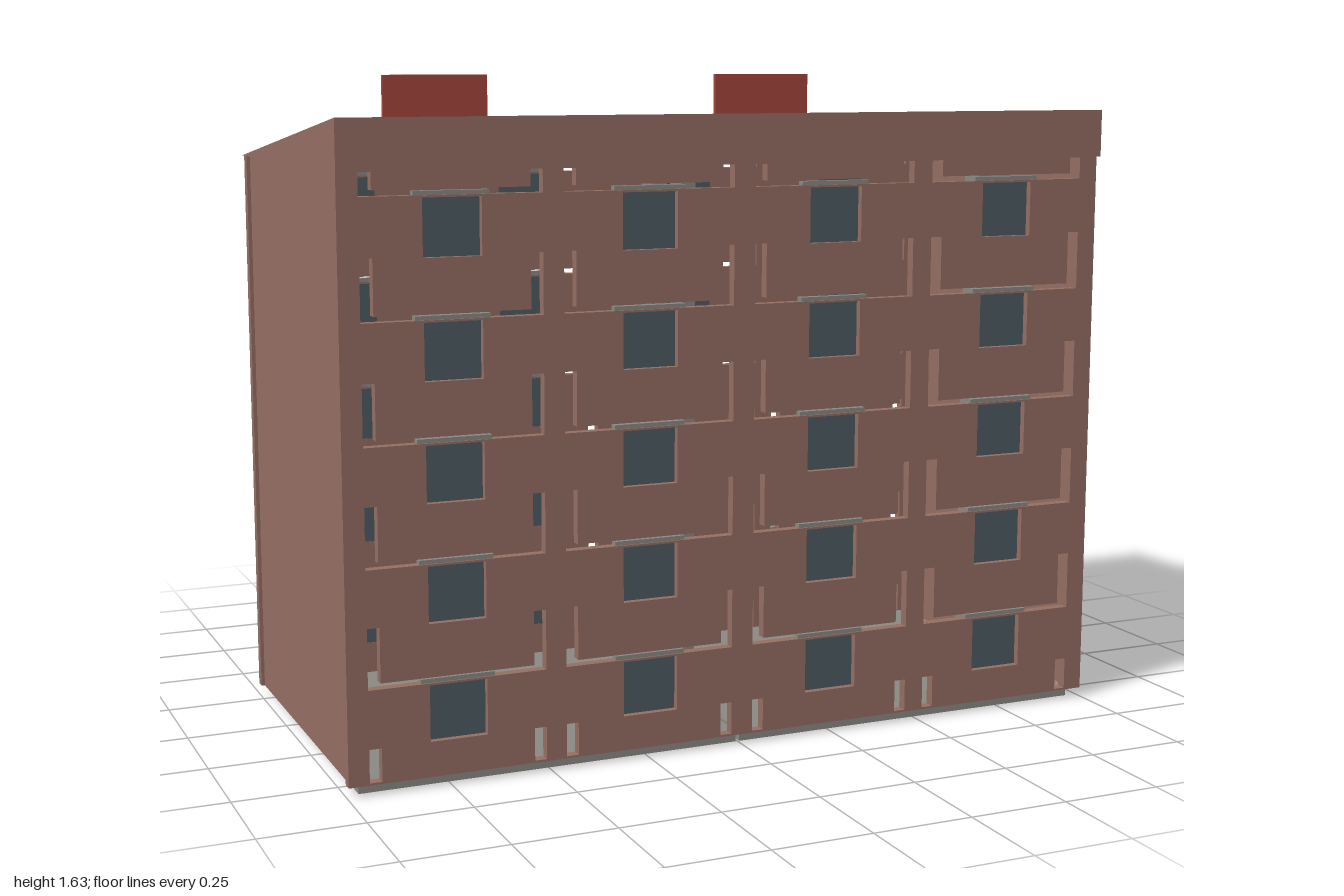
import * as THREE from 'three';

const mat = (name, color) => {
  const m = new THREE.MeshStandardMaterial({ color });
  m.name = name;
  return m;
};

export function createModel() {
  const brick = mat('brick', 0x966f63);
  const concrete = mat('concrete', 0x8c8a84);
  const glass = mat('glass', 0x4f5d64);
  const red = mat('red', 0xa8463c);

  const model = new THREE.Group();
  model.name = 'apartmentBlock';

  // Box given by its limits on each axis
  const box = (name, material, x0, x1, y0, y1, z0, z1, parent = model) => {
    const mesh = new THREE.Mesh(new THREE.BoxGeometry(x1 - x0, y1 - y0, z1 - z0), material);
    mesh.position.set((x0 + x1) / 2, (y0 + y1) / 2, (z0 + z1) / 2);
    mesh.name = name;
    parent.add(mesh);
    return mesh;
  };
  const polygon = (pts, Type = THREE.Path) => new Type(pts.map(p => new THREE.Vector2(...p)));

  const columns = [-0.73, -0.245, 0.245, 0.73];
  const pitch = 0.281, floors = 5, halfSlot = 0.217, slot = 0.03, lip = 0.014;
  const bottom = 0.025, top = 1.432, thick = 0.026;
  const rect = (x0, x1, y0, y1) => polygon([[x0, y0], [x1, y0], [x1, y1], [x0, y1]]);

  // Facade sheet with window openings and U-shaped slots under each balcony panel
  const sheet = polygon([[-0.997, bottom], [0.997, bottom], [0.997, top], [-0.997, top]], THREE.Shape);
  for (const x of columns) {
    const a = x - halfSlot, b = x + halfSlot;
    sheet.holes.push(rect(a, a + slot, 0.03, 0.11), rect(b - slot, b, 0.03, 0.11));
    for (let k = 0; k < floors; k++) {
      const w = 0.11 + k * pitch, y = w + 0.14, yTop = Math.min(y + 0.145, top - 0.004);
      sheet.holes.push(rect(x - 0.07, x + 0.07, w, w + 0.135));
      sheet.holes.push(polygon([[a, y], [b, y], [b, yTop], [b - slot, yTop],
        [b - slot, y + lip], [a + slot, y + lip], [a + slot, yTop], [a, yTop]]));
    }
  }
  const sheetGeometry = new THREE.ExtrudeGeometry(sheet, { depth: thick, bevelEnabled: false });

  const makeFacade = name => {
    const facade = new THREE.Group();
    facade.name = name;
    const wall = new THREE.Mesh(sheetGeometry, brick);
    wall.name = 'facadeWall';
    facade.add(wall);
    for (const x of columns) {
      for (let k = 0; k < floors; k++) {
        const w = 0.11 + k * pitch;
        box('window', glass, x - 0.075, x + 0.075, w - 0.003, w + 0.138, 0.001, 0.009, facade);
        box('lintel', concrete, x - 0.09, x + 0.09, w + 0.138, w + 0.15, 0.002, 0.022, facade);
      }
    }
    model.add(facade);
    return facade;
  };
  makeFacade('frontFacade').position.z = 0.561;
  const back = makeFacade('backFacade');
  back.rotation.y = Math.PI;
  back.position.z = -0.287;

  // Side walls and inner partitions
  for (const s of [-1, 1]) {
    const side = box('sideWall', brick, -0.01, 0.01, bottom, top, -0.29, 0.563);
    side.position.x = s * 0.978;
    for (const x of [0.93, 0.04]) {
      const partition = box('partition', concrete, -0.02, 0.02, bottom, top, 0.1, 0.17);
      partition.position.x = s * x;
    }
  }

  // Base slabs, one for each half of the block
  box('baseSlab', concrete, -0.968, -0.005, 0, 0.028, -0.289, 0.563);
  box('baseSlab', concrete, 0.005, 0.968, 0, 0.028, -0.289, 0.563);

  // Single-pitch roof falling towards the back
  const roofShape = polygon([[-0.6, 1.43], [0.325, 1.43], [-0.6, 1.548]], THREE.Shape);
  const roofGeometry = new THREE.ExtrudeGeometry(roofShape, { depth: 2, bevelEnabled: false });
  roofGeometry.rotateY(Math.PI / 2).translate(-1, 0, 0);
  const roof = new THREE.Mesh(roofGeometry, brick);
  roof.name = 'roof';
  model.add(roof);

  // Entrances with canopies and red boards at the back
  for (const s of [-1, 1]) {
    const entrance = new THREE.Group();
    entrance.name = 'entrance';
    entrance.position.x = s * 0.483;
    model.add(entrance);
    box('porch', concrete, -0.107, 0.107, 0.027, 0.28, -0.472, -0.312, entrance);
    box('canopy', concrete, -0.145, 0.145, 0.293, 0.316, -0.512, -0.312, entrance);
    box('entranceBoard', red, -0.118, 0.118, 0.353, 0.398, -0.321, -0.313, entrance);
    box('roofBoard', red, -0.145, 0.145, 1.5, 1.635, -0.317, -0.304, entrance);
    box('boardPlate', brick, -0.03, 0.03, 1.545, 1.595, -0.322, -0.315, entrance);
  }

  // Walkway
  box('walkway', concrete, -0.873, 0.873, 0.052, 0.066, -0.602, -0.47);

  return model;
}
